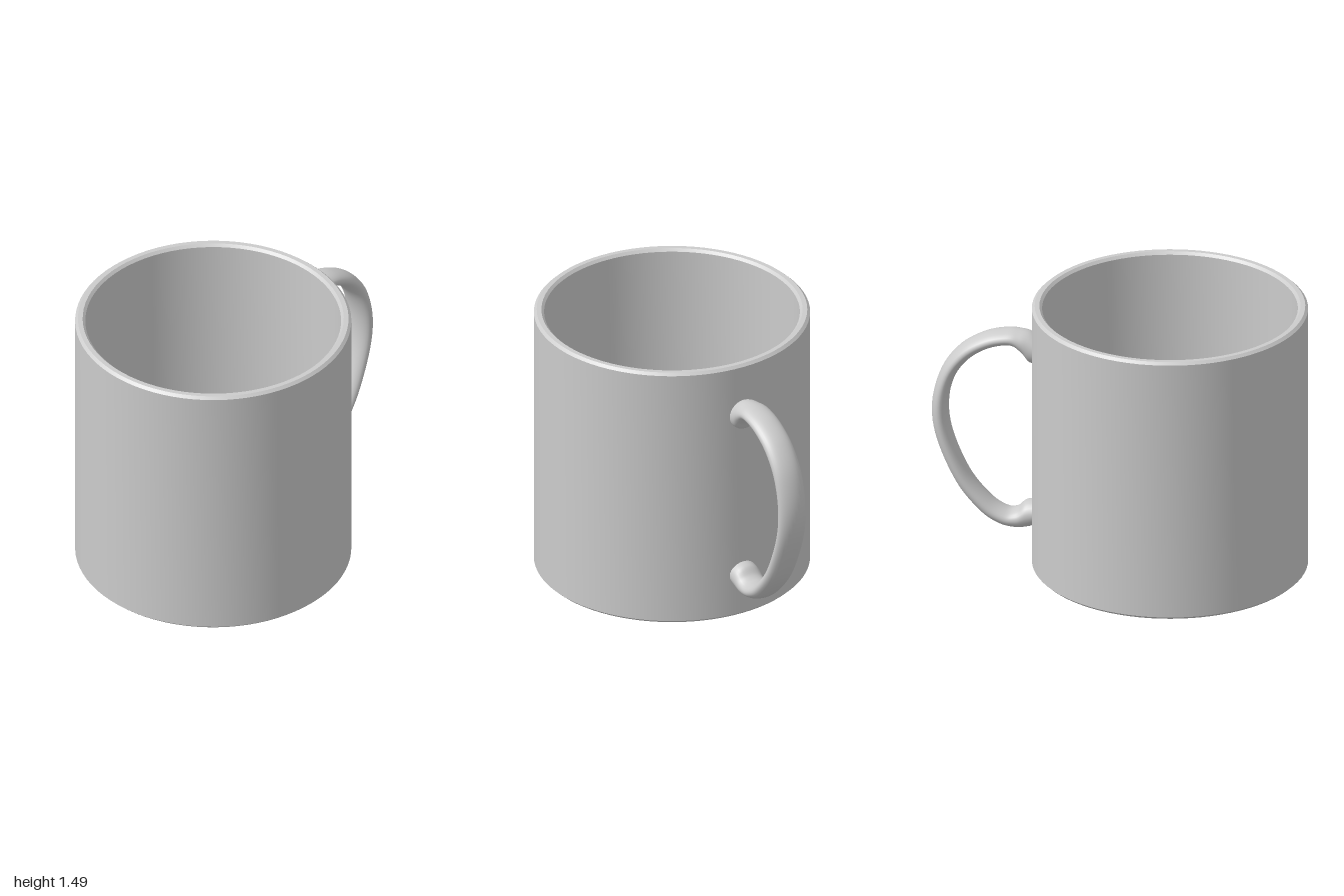
import * as THREE from 'three';
import { toCreasedNormals } from 'three/addons/utils/BufferGeometryUtils.js';

const BODY_X = -0.27;
const v2 = ([x, y]) => new THREE.Vector2(x, y);

// Loft elliptical sections between matching outer and inner edge curves
function loftHandle(outer, inner, halfWidth, steps, sides) {
  const a = new THREE.SplineCurve(outer.map(v2));
  const b = new THREE.SplineCurve(inner.map(v2));
  const positions = [];
  const index = [];
  for (let i = 0; i <= steps; i++) {
    const p = a.getPoint(i / steps);
    const q = b.getPoint(i / steps);
    for (let j = 0; j < sides; j++) {
      const t = (j / sides) * Math.PI * 2;
      const k = (1 - Math.cos(t)) / 2;
      positions.push(p.x + (q.x - p.x) * k, p.y + (q.y - p.y) * k, halfWidth * Math.sin(t));
      if (i === steps) continue;
      const n = (j + 1) % sides;
      const c = i * sides;
      index.push(c + j, c + sides + j, c + n, c + n, c + sides + j, c + sides + n);
    }
  }
  const geometry = new THREE.BufferGeometry();
  geometry.setAttribute('position', new THREE.Float32BufferAttribute(positions, 3));
  geometry.setIndex(index);
  geometry.computeVertexNormals();
  return geometry;
}

export function createModel() {
  const group = new THREE.Group();
  group.name = 'mug';
  const material = new THREE.MeshStandardMaterial({ color: 0xcccccc, side: THREE.DoubleSide });

  // Hollow cup with chamfered foot, bevelled rim and bevelled inner floor
  const profile = [
    [0, 0], [0.715, 0], [0.73, 0.014], [0.73, 1.478], [0.715, 1.492],
    [0.69, 1.492], [0.676, 1.478], [0.676, 0.085], [0.65, 0.06], [0, 0.06],
  ].map(v2);
  const cup = new THREE.Mesh(toCreasedNormals(new THREE.LatheGeometry(profile, 80), 0.5), material);
  cup.name = 'cup';
  cup.position.x = BODY_X;
  group.add(cup);

  // Ear-shaped handle, flaring where it meets the wall
  const outer = [
    [0.44, 1.27], [0.48, 1.292], [0.53, 1.3], [0.6, 1.298], [0.72, 1.268], [0.85, 1.188],
    [0.95, 1.05], [1.0, 0.85], [0.975, 0.65], [0.87, 0.405], [0.74, 0.245],
    [0.64, 0.18], [0.55, 0.16], [0.48, 0.168], [0.44, 0.185],
  ];
  const inner = [
    [0.44, 1.115], [0.48, 1.122], [0.515, 1.17], [0.575, 1.215], [0.69, 1.192], [0.8, 1.12],
    [0.88, 1.005], [0.912, 0.85], [0.89, 0.675], [0.8, 0.46], [0.69, 0.32],
    [0.6, 0.262], [0.545, 0.268], [0.5, 0.308], [0.44, 0.318],
  ];
  const handle = new THREE.Mesh(loftHandle(outer, inner, 0.081, 84, 28), material);
  handle.name = 'handle';
  group.add(handle);

  return group;
}
